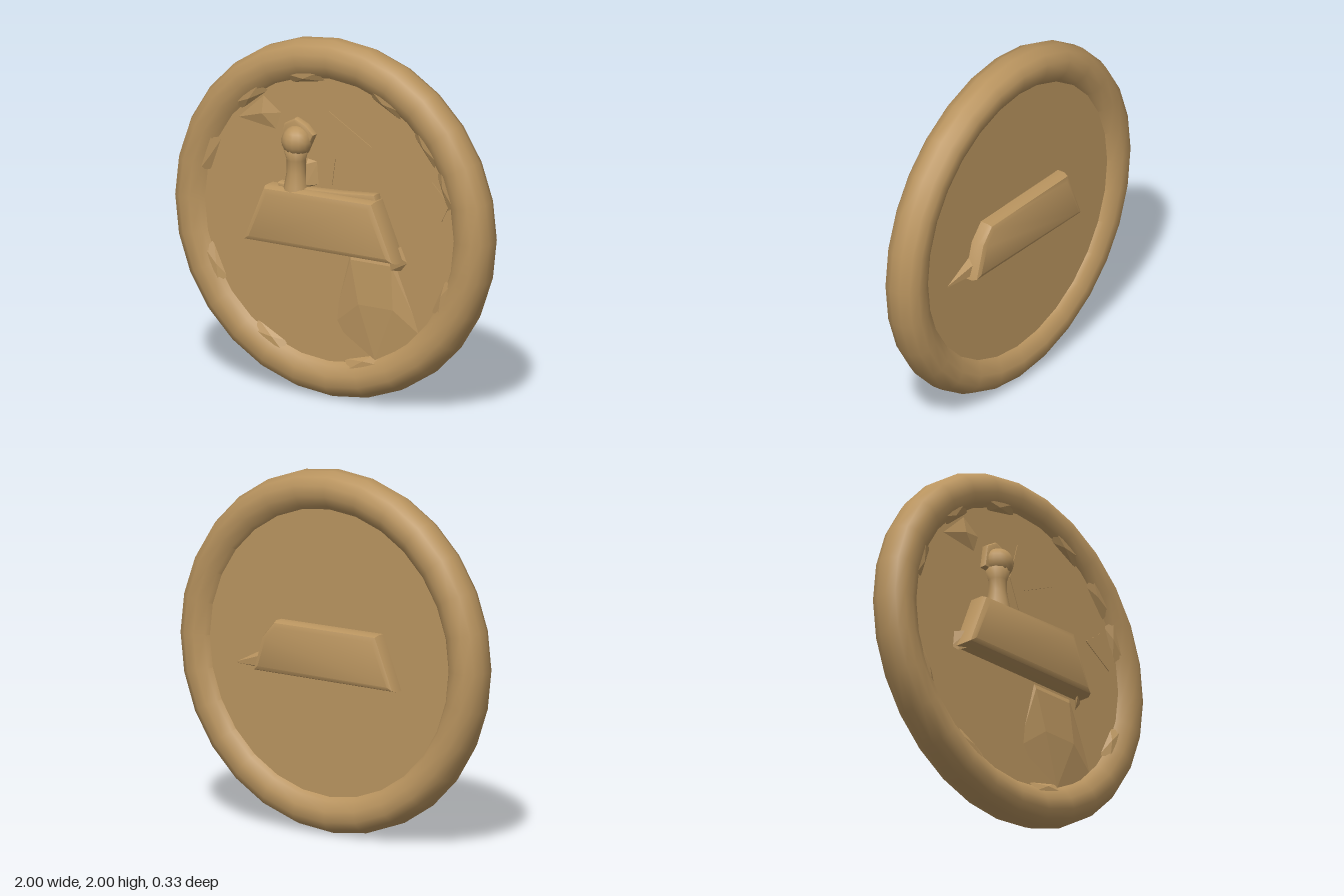
import * as THREE from 'three';
import { toCreasedNormals } from 'three/addons/utils/BufferGeometryUtils.js';
import { ConvexGeometry } from 'three/addons/geometries/ConvexGeometry.js';

const FRONT = 0.045, BACK = -0.085; // faces of the inner plate

export function createModel() {
  const clay = new THREE.MeshStandardMaterial({ color: 0xb9945f });
  clay.name = 'tan clay';
  const model = new THREE.Group();
  model.name = 'medallion';

  const add = (name, geometry, x = 0, y = 0, z = 0) => {
    const mesh = new THREE.Mesh(geometry, clay);
    mesh.name = name;
    mesh.position.set(x, y, z);
    model.add(mesh);
    return mesh;
  };
  const points2 = (list) => list.map(([a, b]) => new THREE.Vector2(a, b));
  // profile of [radius, z] turned about the z axis
  const turned = (profile, sides) =>
    toCreasedNormals(new THREE.LatheGeometry(points2(profile), sides).rotateX(Math.PI / 2), 0.75);
  // outline of [x, y] given depth from z0 to z1, with bevelled edges
  const slab = (outline, z0, z1, bevel) => {
    const geo = new THREE.ExtrudeGeometry(new THREE.Shape(points2(outline)), {
      depth: z1 - z0 - 2 * bevel, bevelEnabled: bevel > 0,
      bevelThickness: bevel, bevelSize: bevel, bevelOffset: -bevel, bevelSegments: 2,
    });
    return toCreasedNormals(geo.translate(0, 0, z0 + bevel), 0.6);
  };
  const hull = (corners) => new ConvexGeometry(corners.map((c) => new THREE.Vector3(...c)));

  // Raised ring round the edge; lathe y becomes -z..z after turning
  add('rim', turned([
    [0.79, 0.0], [0.79, 0.04], [0.815, 0.066], [0.87, 0.09], [0.93, 0.09], [0.975, 0.06], [1, 0.01],
    [1, -0.05], [0.975, -0.105], [0.93, -0.135], [0.87, -0.135], [0.815, -0.107], [0.79, -0.08], [0.79, 0.0],
  ].reverse(), 28), 0, 1);

  // Inner plate
  add('plate', turned([[0, BACK], [0.81, BACK], [0.81, FRONT], [0, FRONT]], 28), 0, 1);

  // Sloping block that passes through the plate
  add('block', slab([[-0.49, 0.84], [0.48, 0.84], [0.34, 1.17], [-0.36, 1.16]], 0, 0.163, 0.04));
  add('blockBack', slab([[-0.48, 0.85], [0.46, 0.86], [0.40, 1.06], [0.32, 1.15], [-0.36, 1.15]], -0.167, 0, 0.035));
  add('blockLedge', slab([[-0.3, 1.13], [0.34, 1.13], [0.32, 1.2], [0.1, 1.18], [-0.1, 1.17], [-0.3, 1.18]], FRONT - 0.02, 0.1, 0.015));

  // Rough feet at the lower corners of the block
  add('blockFootRight', hull([[-0.51, 0.84, 0.04], [-0.5, 0.93, 0.04], [-0.43, 0.94, 0.1], [-0.41, 0.85, 0.1], [-0.48, 0.82, 0.06]]));
  add('blockFootLeft', hull([[0.5, 0.83, 0.04], [0.46, 0.92, 0.04], [0.42, 0.9, 0.11], [0.42, 0.79, 0.09], [0.46, 0.78, 0.04]]));

  // Knob: waisted post with a ball on top
  const post = new THREE.LatheGeometry(points2([
    [0.075, 1.13], [0.065, 1.18], [0.052, 1.25], [0.052, 1.32], [0.07, 1.38], [0.02, 1.43],
  ]), 12);
  add('knobPost', post, -0.19, 0, 0.08);
  add('knobBall', new THREE.SphereGeometry(0.085, 14, 10), -0.185, 1.425, 0.08);
  add('knobHood', slab([
    [-0.29, 1.38], [-0.13, 1.36], [-0.08, 1.47], [-0.13, 1.52], [-0.2, 1.55], [-0.27, 1.51],
  ], 0.02, 0.085, 0.015));
  add('knobFin', hull([[-0.14, 1.16, 0.04], [-0.06, 1.19, 0.04], [-0.07, 1.32, 0.04], [-0.14, 1.33, 0.04], [-0.13, 1.18, 0.08], [-0.13, 1.3, 0.07]]));

  // Shallow relief on the front of the plate
  add('fanRelief', hull([
    [0.13, 0.84, 0.04], [0.42, 0.84, 0.04], [0.12, 0.65, 0.045], [0.02, 0.42, 0.04], [0.6, 0.42, 0.04],
    [0.14, 0.8, 0.055], [0.4, 0.8, 0.055], [0.2, 0.56, 0.07], [0.42, 0.56, 0.07], [0.3, 0.26, 0.06],
  ]));
  add('upperRelief', hull([
    [-0.62, 1.48, 0.04], [-0.42, 1.66, 0.04], [-0.28, 1.56, 0.04], [-0.32, 1.44, 0.04], [-0.42, 1.54, 0.065],
  ]));
  add('scratchPlate', slab([[0.54, 1.22], [0.72, 1.1], [0.77, 1.2], [0.66, 1.31]], FRONT - 0.01, FRONT + 0.004, 0));
  add('shardPlate', slab([[0.02, 1.2], [0.04, 1.35], [0.27, 1.45], [0, 1.61], [-0.06, 1.4]], FRONT - 0.01, FRONT + 0.004, 0));

  // Pointed ridge on the back
  add('backRidge', hull([
    [0.38, 0.86, -0.08], [0.38, 1.0, -0.08], [0.64, 0.87, -0.08], [0.4, 0.88, -0.125], [0.4, 0.95, -0.125],
  ]));

  // Small chips where plate and rim meet
  for (const deg of [20, 38, 62, 100, 128, 160, 205, 242, 285, 335]) {
    const chip = add('rimChip', hull([
      [0.765, -0.11, 0.04], [0.765, 0.1, 0.04], [0.82, -0.08, 0.07], [0.82, 0.12, 0.07], [0.79, 0.02, 0.068],
    ]), 0, 1);
    chip.rotation.z = deg * Math.PI / 180;
  }
  return model;
}
